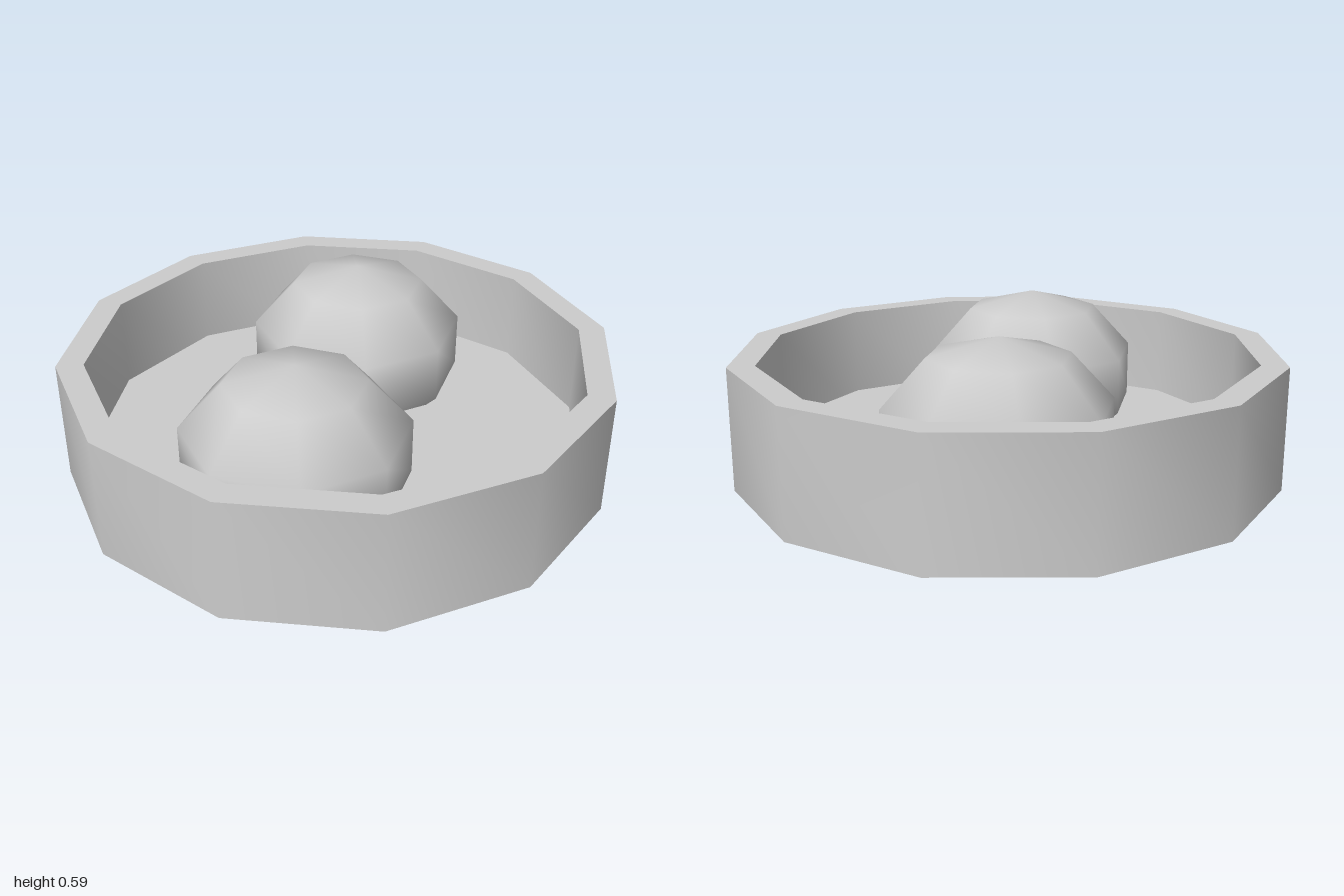
import * as THREE from 'three';
import { toCreasedNormals } from 'three/addons/utils/BufferGeometryUtils.js';

const material = new THREE.MeshStandardMaterial({ color: 0xcccccc });

// Creased lathe turned from [radius, height] points
function lathe(name, points, sides, crease) {
  const profile = points.map(([r, y]) => new THREE.Vector2(r, y));
  const geometry = toCreasedNormals(new THREE.LatheGeometry(profile, sides), crease);
  const mesh = new THREE.Mesh(geometry, material);
  mesh.name = name;
  return mesh;
}

export function createModel() {
  const group = new THREE.Group();
  group.name = 'dishWithBalls';

  // Twelve-sided dish: thick wall with a floor raised above its foot
  const dish = new THREE.Group();
  dish.name = 'dish';
  dish.rotation.y = THREE.MathUtils.degToRad(5.5);
  dish.add(lathe('wall', [[1.003, 0], [1.003, 0.45], [0.905, 0.45], [0.905, 0], [1.003, 0]], 12, 0.8));
  const floor = new THREE.Mesh(new THREE.CylinderGeometry(0.92, 0.92, 0.03, 12), material);
  floor.name = 'floor';
  floor.position.y = 0.095;
  dish.add(floor);
  group.add(dish);

  // Two squashed eight-sided balls that poke through the floor
  const radius = 0.42, height = 0.334, centre = 0.258, base = 0.005;
  const profile = [[0.255, base]];
  for (let i = 3; i >= 0; i--) {
    const a = (i * Math.PI) / 5;
    profile.push([radius * Math.sin(a), centre + height * Math.cos(a)]);
  }
  for (const [name, x, z] of [['backBall', 0.095, -0.38], ['frontBall', -0.16, 0.372]]) {
    const ball = lathe(name, profile, 8, 1.2);
    ball.position.set(x, 0, z);
    ball.rotation.y = THREE.MathUtils.degToRad(0.7);
    // Flat underside
    const cap = new THREE.Mesh(new THREE.CircleGeometry(0.255, 8).rotateX(Math.PI / 2), material);
    cap.name = 'ballUnderside';
    cap.position.y = base;
    ball.add(cap);
    group.add(ball);
  }
  return group;
}
